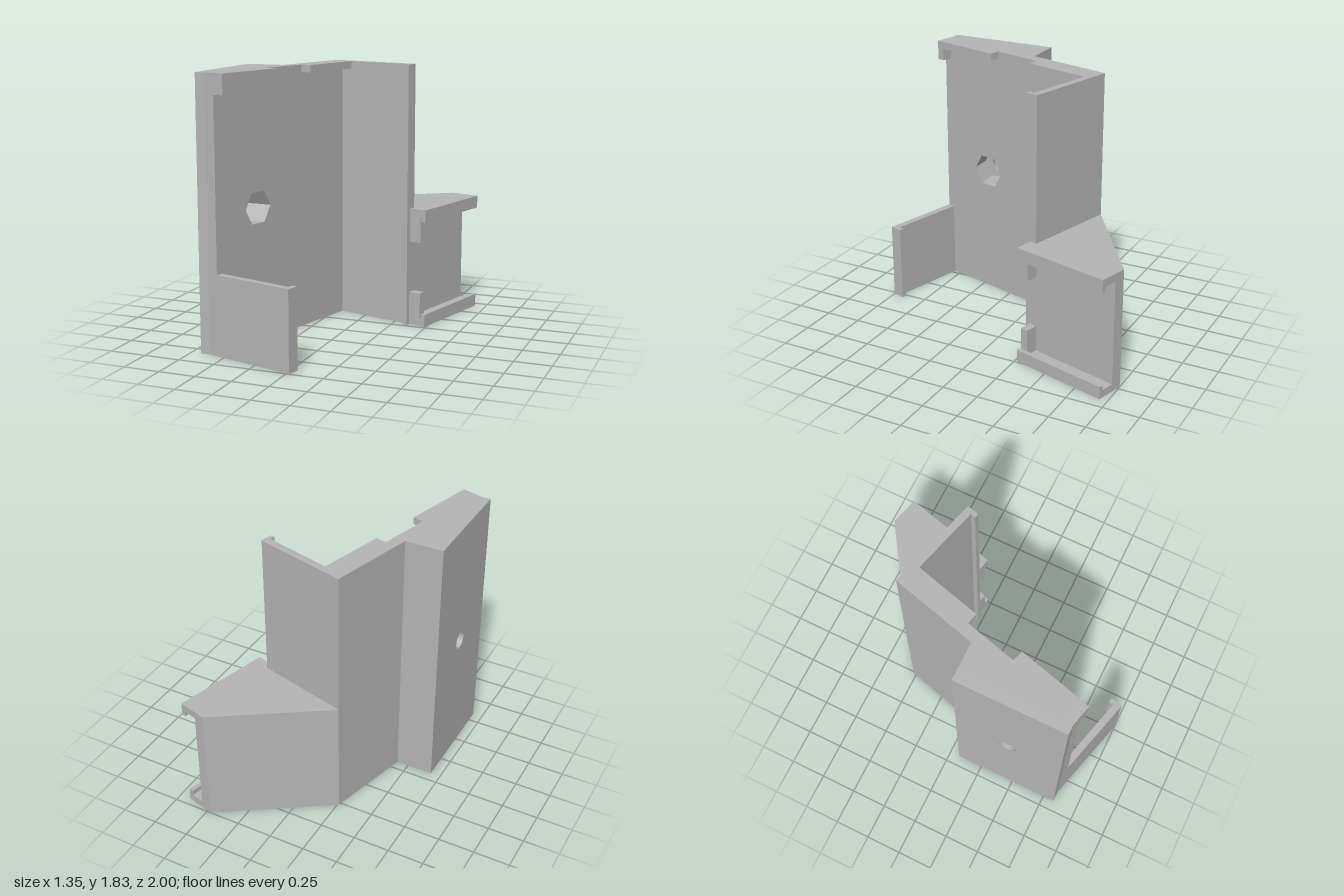
import * as THREE from 'three';

const ANGLE = Math.PI / 12; // bracket is turned 15 degrees about y
const C = Math.cos(ANGLE), S = Math.sin(ANGLE);
const HEIGHT = 1.825;

// Bracket plan coordinates (u along the arms, v along the wall) to [x, z]
const L = (u, v) => [-0.26 + C * u - S * v, -0.52 + S * u + C * v];
const rect = (u0, u1, v0, v1) => [L(u0, v0), L(u1, v0), L(u1, v1), L(u0, v1)];

// x of a wall plane (constant u) at a given z
const wallX = (u, z) => {
  const [x, z0] = L(u, 0);
  return x - (z - z0) * S / C;
};

export function createModel() {
  const model = new THREE.Group();
  const grey = new THREE.MeshStandardMaterial({ color: 0xb4b4b4 });
  grey.name = 'grey plastic';

  const add = (name, geometry, parent = model) => {
    const mesh = new THREE.Mesh(geometry, grey);
    mesh.name = name;
    parent.add(mesh);
  };

  // Upright prism over a plan outline of [x, z] points
  const prism = (name, outline, y0, y1, parent) => {
    const shape = new THREE.Shape(outline.map(([x, z]) => new THREE.Vector2(x, -z)));
    const geometry = new THREE.ExtrudeGeometry(shape, { depth: y1 - y0, bevelEnabled: false });
    add(name, geometry.rotateX(-Math.PI / 2).translate(0, y0, 0), parent);
  };

  // Slab lying across x, pierced by a round or hexagonal hole
  const Z0 = 0.07, Z1 = 0.8, HOLE_Z = 0.45, HOLE_Y = 0.915;
  const pierced = (radius, sides, x0, x1) => {
    const shape = new THREE.Shape([[-Z1, 0], [-Z0, 0], [-Z0, HEIGHT], [-Z1, HEIGHT]]
      .map(([a, b]) => new THREE.Vector2(a, b)));
    const hole = [];
    for (let i = 0; i < sides; i++) {
      const t = -i / sides * Math.PI * 2;
      hole.push(new THREE.Vector2(-HOLE_Z + radius * Math.cos(t), HOLE_Y + radius * Math.sin(t)));
    }
    shape.holes.push(new THREE.Path(hole));
    return new THREE.ExtrudeGeometry(shape, { depth: x1 - x0, bevelEnabled: false })
      .rotateY(Math.PI / 2).translate(x0, 0, 0);
  };

  // Main wall: plain rear section, thick bolted section, front end
  const wall = new THREE.Group();
  wall.name = 'mainWall';
  model.add(wall);
  prism('wallRear', [L(0, 0), [wallX(0, Z0), Z0], [wallX(0.08, Z0), Z0], L(0.08, 0)], 0, HEIGHT, wall);
  prism('wallFrontEnd', [[-0.68, Z1], [-0.68, 0.83], L(0.01, 1.395), L(0.08, 1.395),
    [wallX(0.08, Z1), Z1]], 0, HEIGHT, wall);
  add('boltPlate', pierced(0.062, 32, -0.68, -0.62), wall);

  // Nut block: its inner face slants to follow the wall
  const nutBlock = pierced(0.121, 6, -0.62, -0.4);
  const p = nutBlock.attributes.position;
  for (let i = 0; i < p.count; i++) {
    if (p.getX(i) > -0.5) p.setX(i, wallX(0.08, p.getZ(i)));
  }
  nutBlock.computeVertexNormals();
  add('nutBlock', nutBlock, wall);

  // Lips along the top edge and the hooked front corner
  prism('topLipRear', rect(0.07, 0.156, 0.04, 0.515), 1.775, HEIGHT);
  prism('topLipFront', rect(0.07, 0.156, 0.875, 1.395), 1.775, HEIGHT);
  prism('topCornerHook', rect(0.07, 0.156, 1.345, 1.395), 1.69, HEIGHT);

  // Tall rear arm and short front arm, each with a turned-in edge
  prism('rearArm', rect(0, 0.662, 0, 0.05), 0, HEIGHT);
  prism('rearArmEdge', rect(0.632, 0.662, 0.04, 0.085), 0, HEIGHT);
  prism('frontArm', rect(0.06, 0.664, 1.345, 1.395), 0, 0.54);
  prism('frontArmEdge', rect(0.63, 0.664, 1.308, 1.355), 0, 0.54);

  // Side holder: wedge body with a channel on its outer face
  const BACK = -0.651, FACE = 0.662, OUT = 0.789, TOP = 0.83;
  const holder = new THREE.Group();
  holder.name = 'sideHolder';
  model.add(holder);
  prism('holderBody', [L(0, 0), L(0.581, BACK), L(FACE, BACK), L(FACE, 0.05), L(0.6, 0.05)], 0, TOP, holder);

  // Channel rails and stops, mirrored top and bottom
  for (const top of [false, true]) {
    const part = (name, outline, y0, y1) =>
      prism(name, outline, top ? TOP - y1 : y0, top ? TOP - y0 : y1, holder);
    const side = top ? 'upper' : 'lower';
    part(side + 'Rail', rect(0.65, OUT, BACK, 0.05), 0, 0.052);
    part(side + 'RailLip', rect(0.758, OUT, BACK, 0.05), 0.04, 0.087);
    part(side + 'Stop', rect(0.65, 0.75, -0.005, 0.05), 0.04, 0.235);
  }

  return model;
}
